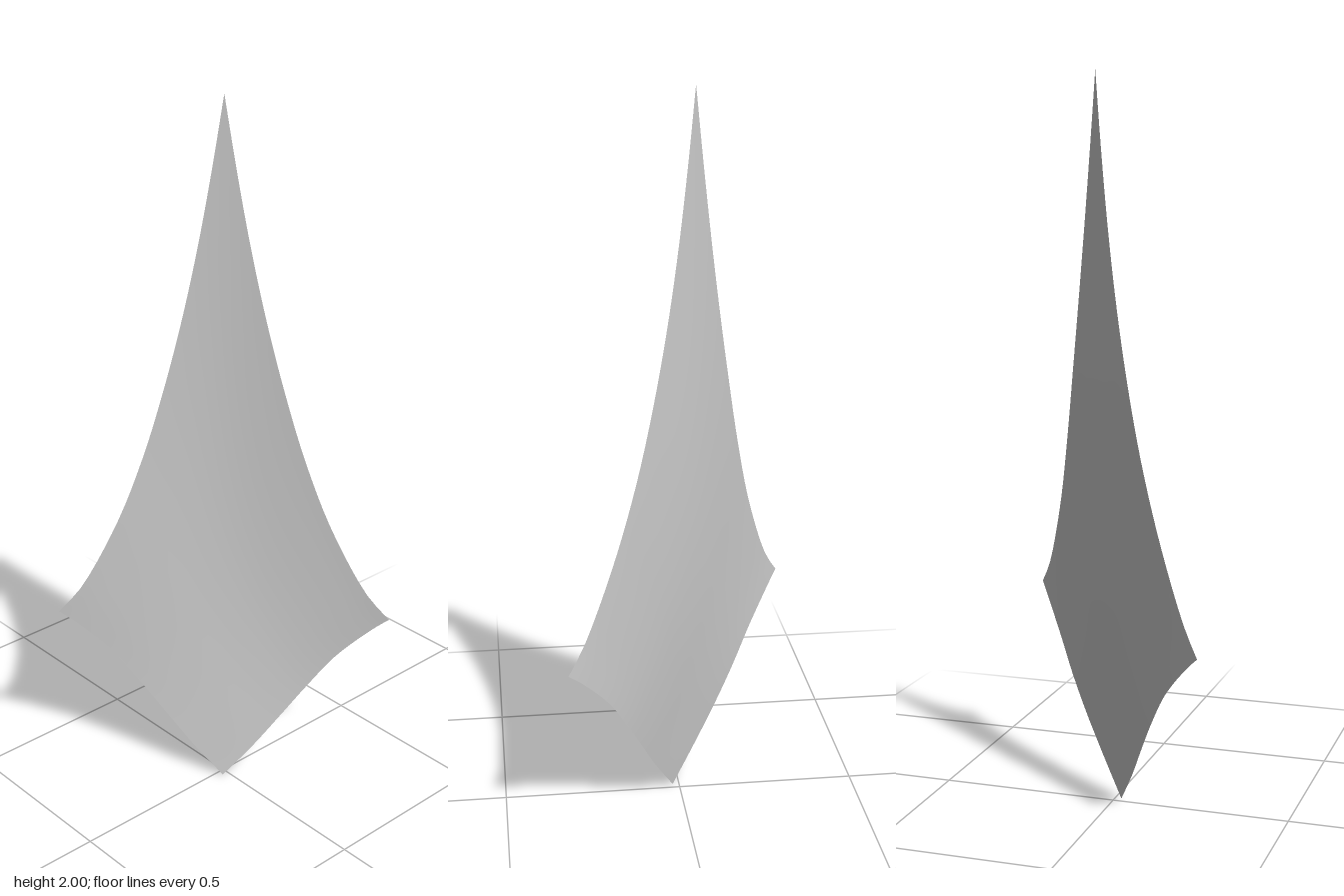
import * as THREE from 'three';
import { ParametricGeometry } from 'three/addons/geometries/ParametricGeometry.js';

// The blade stands on the x = z diagonal: across = distance along that diagonal,
// bulge = offset square to it, towards +x -z.
const place = (across, y, bulge) =>
  new THREE.Vector3((across + bulge) * Math.SQRT1_2, y, (across - bulge) * Math.SQRT1_2);

// Half outline as [across, y, bulge], from bottom point to side corner and from corner to tip
const lowerEdge = [[0, 0, -0.026], [0.088, 0.1, -0.014], [0.167, 0.2, -0.001], [0.243, 0.3, 0.008],
  [0.322, 0.4, 0.01], [0.429, 0.5, 0.004], [0.468, 0.53, 0]];
const upperEdge = [[0.468, 0.53, 0], [0.407, 0.6, 0.004], [0.3, 0.8, 0.018], [0.223, 1, 0.032],
  [0.163, 1.2, 0.042], [0.112, 1.4, 0.048], [0.069, 1.6, 0.051], [0.0325, 1.8, 0.052], [0, 2, 0.052]];

const edgeCurve = (points, side) =>
  new THREE.CatmullRomCurve3(points.map(([a, y, b]) => place(a * side, y, b)), false, 'centripetal');

export function createModel() {
  const group = new THREE.Group();
  group.name = 'pointedBlade';

  const lowerLeft = edgeCurve(lowerEdge, 1), lowerRight = edgeCurve(lowerEdge, -1);
  const upperLeft = edgeCurve(upperEdge, 1), upperRight = edgeCurve(upperEdge, -1);
  const bottom = lowerLeft.getPoint(0), left = lowerLeft.getPoint(1);
  const right = lowerRight.getPoint(1), tip = upperLeft.getPoint(1);

  // Curved sheet blended between its four edges
  const sheet = (s, t, target) => {
    target.set(0, 0, 0)
      .addScaledVector(lowerLeft.getPointAt(s), 1 - t)
      .addScaledVector(upperRight.getPointAt(s), t)
      .addScaledVector(lowerRight.getPointAt(t), 1 - s)
      .addScaledVector(upperLeft.getPointAt(t), s)
      .addScaledVector(bottom, -(1 - s) * (1 - t))
      .addScaledVector(left, -s * (1 - t))
      .addScaledVector(right, -(1 - s) * t)
      .addScaledVector(tip, -s * t);
  };
  const geometry = new ParametricGeometry(sheet, 32, 32);
  geometry.computeVertexNormals();

  const blade = new THREE.Mesh(geometry,
    new THREE.MeshStandardMaterial({ color: 0xcccccc, side: THREE.DoubleSide }));
  blade.name = 'bladeSheet';
  group.add(blade);
  return group;
}
